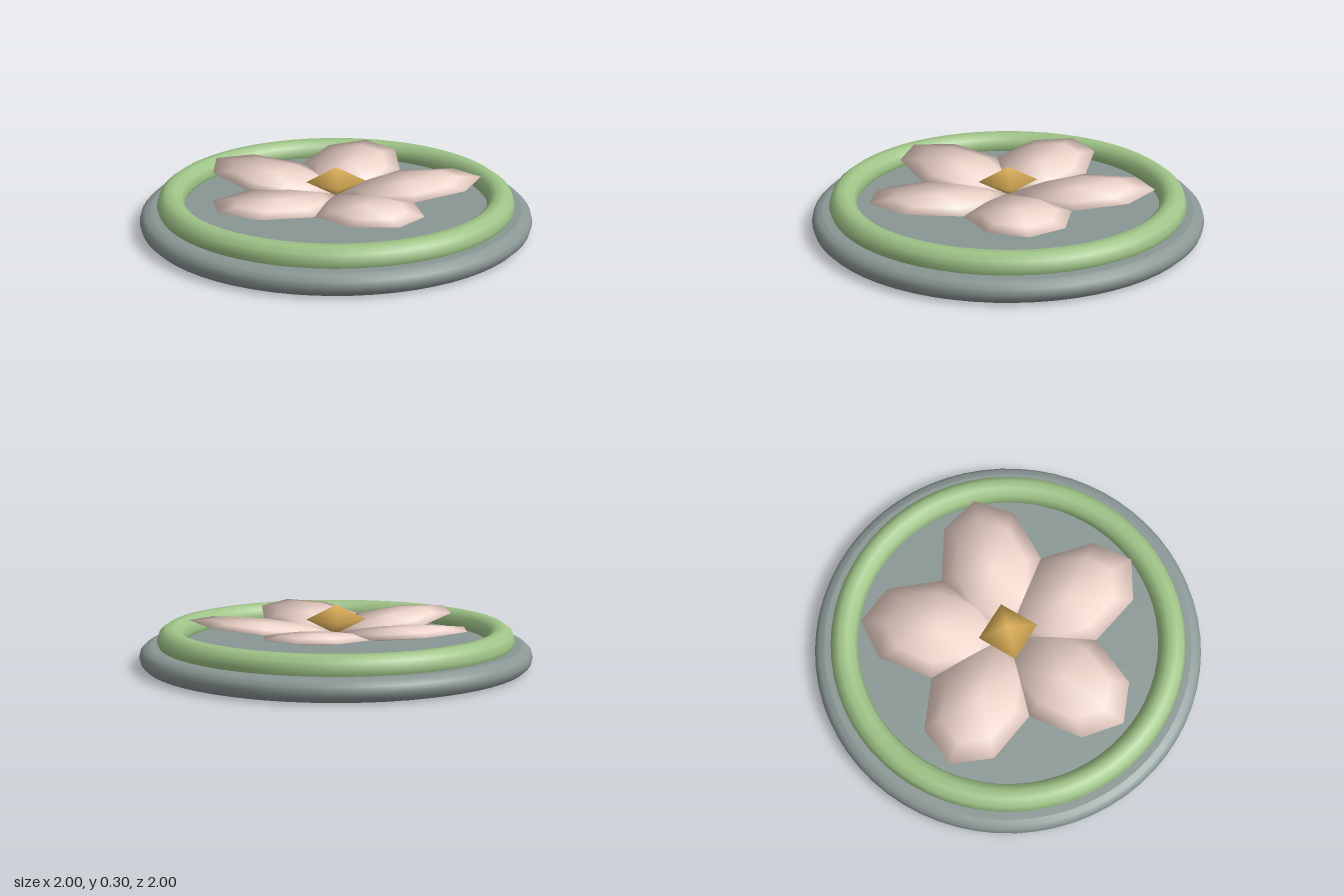
import * as THREE from 'three';

const material = (color) => new THREE.MeshStandardMaterial({ color });

function addMesh(parent, name, geometry, mat) {
  const mesh = new THREE.Mesh(geometry, mat);
  mesh.name = name;
  parent.add(mesh);
  return mesh;
}

export function createModel() {
  const model = new THREE.Group();
  model.name = 'flowerMedallion';
  const grey = material(0x8a9795);
  const green = material(0x9fc487);
  const pink = material(0xf2d8ce);
  const gold = material(0xe2b45a);

  // Base plate: rounded rim closed by two flat discs
  const base = new THREE.Group();
  base.name = 'basePlate';
  model.add(base);
  const r = 0.055;
  const profile = [];
  for (let i = 0; i <= 6; i++) {
    const a = -Math.PI / 2 + (i / 6) * Math.PI;
    profile.push(new THREE.Vector2(1 - r + r * Math.cos(a), r + r * Math.sin(a)));
  }
  addMesh(base, 'plateRim', new THREE.LatheGeometry(profile, 64), grey);
  for (const side of [-1, 1]) {
    const disc = new THREE.CircleGeometry(1 - r, 64).rotateX(-side * Math.PI / 2);
    addMesh(base, side > 0 ? 'plateTop' : 'plateBottom', disc, grey).position.y = r + side * r;
  }

  // Raised ring
  const ring = new THREE.TorusGeometry(0.84, 0.07, 10, 64).rotateX(Math.PI / 2);
  addMesh(model, 'ring', ring, green).position.y = 0.133;

  // Petals: flattened eight-sided domes with rounded shading, tips tilted up
  const petalGeometry = new THREE.SphereGeometry(1, 8, 4);
  petalGeometry.attributes.position.applyMatrix4(new THREE.Matrix4().makeScale(0.386, 0.02, 0.265));
  petalGeometry.rotateZ(0.1).translate(0.365, 0.19, 0);
  for (let i = 0; i < 5; i++) {
    addMesh(model, 'petal', petalGeometry, pink).rotation.y = (i * Math.PI * 2) / 5;
  }

  // Flower centre: flattened four-sided bead with soft shading
  const bead = new THREE.SphereGeometry(1, 4, 2);
  bead.attributes.position.applyMatrix4(new THREE.Matrix4().makeScale(0.152, 0.075, 0.152));
  addMesh(model, 'flowerCentre', bead, gold).position.y = 0.225;

  return model;
}
